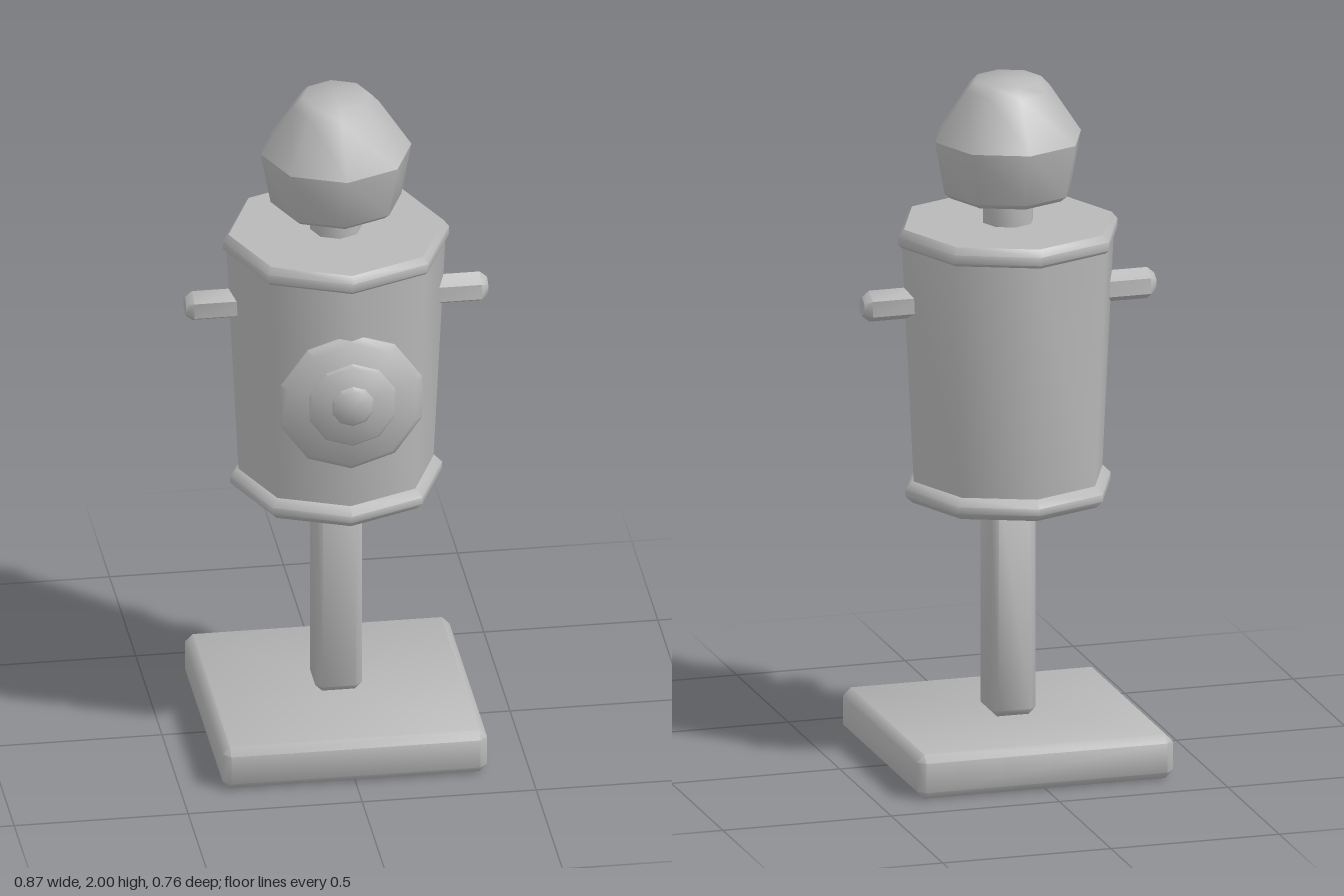
import * as THREE from 'three';
import { toCreasedNormals } from 'three/addons/utils/BufferGeometryUtils.js';
import { ConvexGeometry } from 'three/addons/geometries/ConvexGeometry.js';

const CREASE = THREE.MathUtils.degToRad(50);

// Faceted solid of revolution from [radius, height] pairs, bottom to top
function turned(profile, sides) {
  const points = profile.map(([r, y]) => new THREE.Vector2(r, y));
  return toCreasedNormals(new THREE.LatheGeometry(points, sides), CREASE);
}

// Box with every edge chamfered by c
function chamferedBox(w, h, d, c) {
  const points = [];
  for (const x of [-1, 1]) for (const y of [-1, 1]) for (const z of [-1, 1]) {
    for (let axis = 0; axis < 3; axis++) {
      const inset = [c, c, c];
      inset[axis] = 0;
      points.push(new THREE.Vector3(
        x * (w / 2 - inset[0]), y * (h / 2 - inset[1]), z * (d / 2 - inset[2])));
    }
  }
  return toCreasedNormals(new ConvexGeometry(points), CREASE);
}

export function createModel() {
  const model = new THREE.Group();
  model.name = 'trainingDummy';
  const grey = new THREE.MeshStandardMaterial({ color: 0xb8b8b8 });
  grey.name = 'plainGrey';

  const add = (name, geometry, x = 0, y = 0, z = 0) => {
    const mesh = new THREE.Mesh(geometry, grey);
    mesh.name = name;
    mesh.position.set(x, y, z);
    model.add(mesh);
    return mesh;
  };

  // Stand
  add('base', chamferedBox(0.76, 0.13, 0.76, 0.022), 0, 0.065, 0);
  add('post', chamferedBox(0.134, 0.7, 0.134, 0.02), 0, 0.48, 0);

  // Torso with bottom and top rims
  add('bottomRim', turned([[0, 0.77], [0.284, 0.77], [0.305, 0.79], [0.305, 0.81],
    [0.284, 0.832], [0, 0.832]], 8));
  add('torso', turned([[0.28, 0.825], [0.315, 1.535]], 8));
  add('topRim', turned([[0, 1.525], [0.314, 1.525], [0.325, 1.535], [0.325, 1.56],
    [0.309, 1.58], [0, 1.58]], 8));

  // Neck and two-part head
  add('neck', turned([[0.074, 1.56], [0.074, 1.68]], 8));
  add('lowerHead', turned([[0, 1.66], [0.17, 1.66], [0.188, 1.675], [0.217, 1.83]], 8));
  add('upperHead', turned([[0.217, 1.83], [0.124, 1.972], [0.098, 2], [0, 2]], 8));

  // Arm pegs
  for (const side of [1, -1]) {
    const arm = add(side > 0 ? 'leftArm' : 'rightArm',
      turned([[0, 0.2], [0.046, 0.2], [0.046, 0.413], [0.028, 0.434], [0, 0.434]], 6), 0, 1.362, 0);
    // Hexagon corners point up and down
    arm.rotation.z = -side * Math.PI / 2;
    arm.geometry.rotateY(Math.PI / 2);
  }

  // Stepped target on the chest
  const discs = [
    ['targetOuter', 0.213, 0.27, 0.313, 0.02],
    ['targetMiddle', 0.13, 0.3, 0.323, 0.008],
    ['targetCentre', 0.062, 0.31, 0.335, 0.01],
  ];
  for (const [name, r, back, front, c] of discs) {
    const disc = add(name, turned([[0, back], [r - c, back], [r, back + c],
      [r, front - c], [r - c, front], [0, front]], 10), 0, 1.172, 0);
    disc.rotation.x = Math.PI / 2;
  }

  return model;
}
